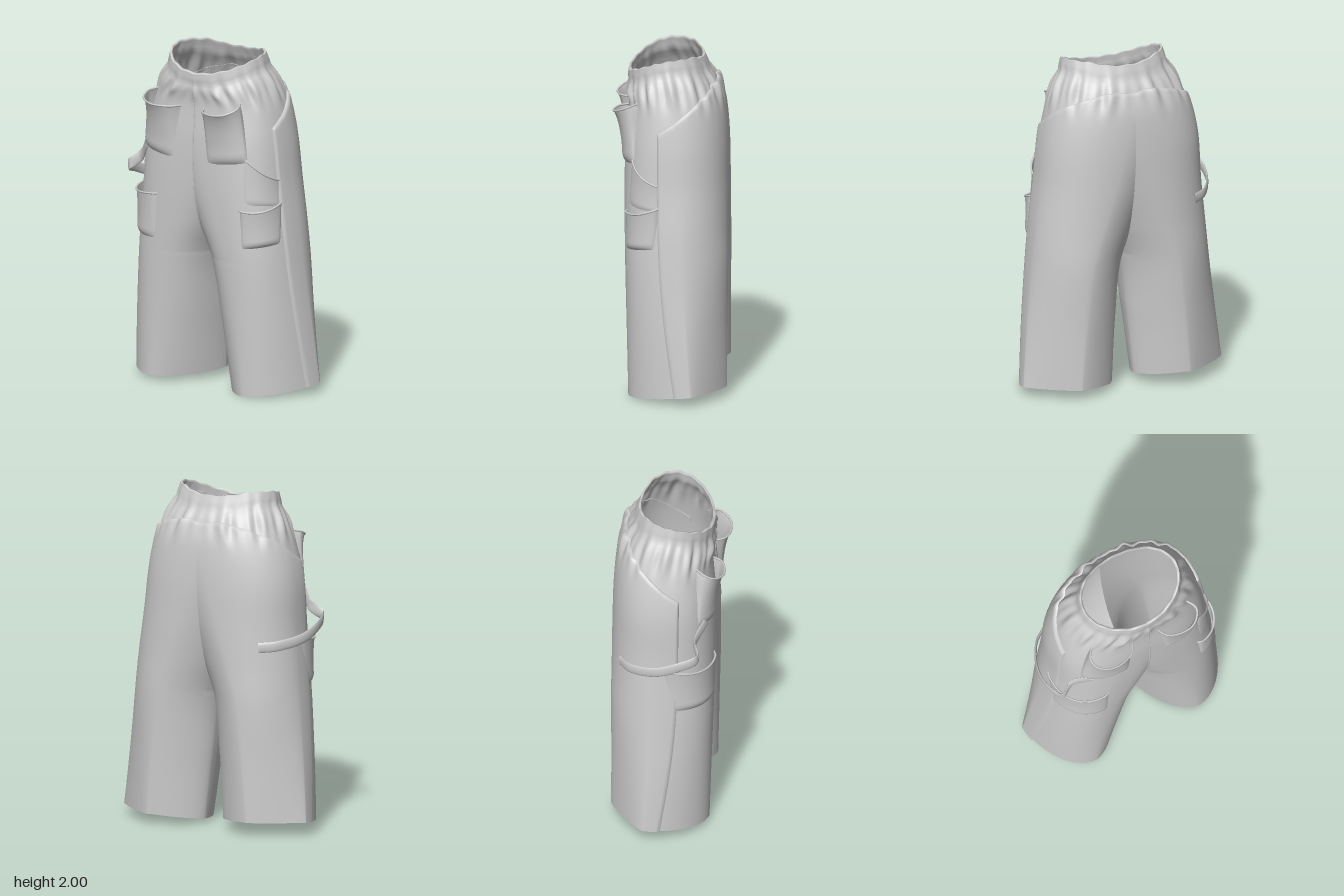
import * as THREE from 'three';

const { lerp, clamp, smoothstep } = THREE.MathUtils;
const CROTCH = 0.78;

// Leg sections: y, inner x, outer x, front z, back z, widest z,
// then squareness of the inner front, inner back, outer front and outer back corners
const SECTIONS = [
  [0.0, 0.07, 0.62, 0.24, -0.325, -0.13, 1.6, 1.55, 1.85, 1.22],
  [0.4, 0.04, 0.585, 0.25, -0.325, -0.1, 1.9, 1.6, 2.05, 1.45],
  [CROTCH, 0.0, 0.545, 0.26, -0.33, -0.07, 2.3, 1.7, 2.25, 1.75],
  [1.0, -0.1, 0.52, 0.265, -0.33, -0.06, 2.4, 1.65, 2.4, 1.9],
  [1.25, -0.22, 0.485, 0.268, -0.33, -0.04, 2.4, 1.7, 2.5, 2.1],
  [1.5, -0.32, 0.455, 0.262, -0.325, -0.03, 2.4, 1.85, 2.5, 2.2],
  [1.7, -0.37, 0.415, 0.247, -0.305, -0.02, 2.3, 2.0, 2.4, 2.2],
  [1.84, -0.355, 0.37, 0.258, -0.268, 0.0, 2.2, 2.1, 2.2, 2.1],
  [1.92, -0.325, 0.33, 0.255, -0.23, 0.02, 2.1, 2.1, 2.1, 2.1],
  [2.0, -0.31, 0.31, 0.25, -0.195, 0.03, 2.0, 2.0, 2.0, 2.0],
];

// Smooth interpolation of the section table
function section(y) {
  const S = SECTIONS, last = S.length - 1;
  let i = 0;
  while (i < last - 1 && y > S[i + 1][0]) i++;
  const h = S[i + 1][0] - S[i][0], t = clamp((y - S[i][0]) / h, 0, 1);
  const slope = (j, k) => {
    const a = S[Math.max(j - 1, 0)], b = S[Math.min(j + 1, last)];
    return (b[k] - a[k]) / (b[0] - a[0]);
  };
  const val = (k) => {
    const t2 = t * t, t3 = t2 * t;
    return (2 * t3 - 3 * t2 + 1) * S[i][k] + (t3 - 2 * t2 + t) * h * slope(i, k)
      + (3 * t2 - 2 * t3) * S[i + 1][k] + (t3 - t2) * h * slope(i + 1, k);
  };
  const xin = val(1), xout = val(2);
  return {
    cx: (xin + xout) / 2, a: (xout - xin) / 2, zf: val(3), zb: val(4), cz: val(5),
    inner: [val(6), val(7)], outer: [val(8), val(9)],
  };
}

const spow = (v, e) => Math.sign(v) * Math.abs(v) ** e;
const squareness = (s, dx, dz) => (dx < 0 ? s.inner : s.outer)[dz < 0 ? 1 : 0];

// Signed angle where a section meets the middle plane on the front (1) or back (-1)
function middleAngle(face, y, d = 0) {
  const s = section(y), r = s.cx / (s.a + d);
  const open = y <= CROTCH + 1e-6 && d <= 0 || r >= 1;
  return face * (open ? Math.PI : Math.acos(-(r ** (squareness(s, -1, face) / 2))));
}
// Angle for a given x on the front (1) or back (-1), and outer-side angle for a given z
function angleAtX(x, y, face = 1) {
  const s = section(y), n = squareness(s, x - s.cx, face);
  return face * Math.acos(clamp(spow((x - s.cx) / s.a, n / 2), -1, 1));
}
function angleAtZ(z, y) {
  const s = section(y), dz = z - s.cz, b = dz > 0 ? s.zf - s.cz : s.cz - s.zb;
  return Math.asin(clamp(spow(dz / b, squareness(s, 1, dz) / 2), -1, 1));
}

// Point on the cloth; d pushes it outward, side is +1 or -1
function cloth(side, th, y, d = 0) {
  const s = section(y), c = Math.cos(th), sn = Math.sin(th), e = 2 / squareness(s, c, sn);
  const gather = 0.008 * Math.exp(-(((y - 1.83) / 0.09) ** 2));
  const o = d + gather * (Math.cos(th * 15 + 0.4) + 0.8 * Math.cos(th * 26 + 1))
    - 0.006 * Math.exp(-(((y - 1.92) / 0.02) ** 2));
  const wide = side < 0 ? 1 + 0.06 * Math.exp(-(((y - 1.5) / 0.32) ** 2)) : 1;
  const x = wide * Math.max(0, s.cx + (s.a + o) * spow(c, e));
  const z = s.cz + ((sn > 0 ? s.zf - s.cz : s.cz - s.zb) + o) * spow(sn, e);
  const hem = 0.06 * clamp((x - 0.25) * 0.9 + (0.23 - z) * 1.7, 0, 1) + (side < 0 ? 0.025 : 0);
  const drop = 0.115 * clamp((z + 0.05) / 0.3, 0, 1) ** 2 + 0.03 * smoothstep(-z, 0.12, 0.2)
    + 0.003 * (1 + Math.sin(th * 17));
  const yy = y + hem * Math.max(0, 1 - y / 0.6) - smoothstep(y, 1.65, 2) * drop;
  return new THREE.Vector3(side * x, yy, z);
}

// Grid surface from a rule f(u, v)
function sheet(f, nu, nv, flip) {
  const pos = [], idx = [];
  for (let j = 0; j <= nv; j++) for (let i = 0; i <= nu; i++) pos.push(...f(i / nu, j / nv).toArray());
  for (let j = 0; j < nv; j++) for (let i = 0; i < nu; i++) {
    const a = j * (nu + 1) + i, b = a + 1, c = a + nu + 1, e = c + 1;
    idx.push(...(flip ? [a, b, c, b, e, c] : [a, c, b, b, c, e]));
  }
  const g = new THREE.BufferGeometry();
  g.setAttribute('position', new THREE.Float32BufferAttribute(pos, 3));
  g.setIndex(idx);
  g.computeVertexNormals();
  return g;
}

export function createModel() {
  const model = new THREE.Group();
  model.name = 'cargoTrousers';
  const mat = new THREE.MeshStandardMaterial({ color: 0xcccccc, side: THREE.DoubleSide });
  const add = (name, geo) => {
    const m = new THREE.Mesh(geo, mat);
    m.name = name;
    model.add(m);
  };
  const cord = (name, pts, r) =>
    add(name, new THREE.TubeGeometry(new THREE.CatmullRomCurve3(pts), pts.length * 2, r, 6));
  const along = (n, f) => Array.from({ length: n + 1 }, (_, i) => f(i / n));

  // Patch pocket: corners are [x, y] bottom inner, bottom outer, top inner, top outer
  function pocket(name, side, corners, puff, flare, sag) {
    const [p, q, r, s] = corners.map(([x, y]) => [angleAtX(x, y), y]);
    const f = (u, v) => {
      const mix = (k) => lerp(lerp(p[k], q[k], u), lerp(r[k], s[k], u), v);
      const bow = Math.max(0, Math.sin(Math.PI * u));
      const d = -0.004 + bow ** 0.4 * (puff * Math.min(1, v * 7) ** 0.5 + (flare - puff) * v * v);
      return cloth(side, mix(0), mix(1) - sag * bow * v * v, d);
    };
    add(name, sheet(f, 24, 20, side > 0));
    cord(name + 'Hem', along(16, (t) => f(t, 1)), 0.006);
  }

  for (const side of [1, -1]) {
    const tag = side > 0 ? 'left' : 'right';

    // Leg and hip half, separate below the crotch and joined above it
    const shell = (u, v) => {
      const y = v < 0.4 ? lerp(0, CROTCH, v / 0.4) : lerp(CROTCH, 2, (v - 0.4) / 0.6);
      return cloth(side, lerp(middleAngle(1, y), middleAngle(-1, y), u), y);
    };
    add(tag + 'Leg', sheet(shell, 120, 80, side < 0));

    // Turned-in lining of the waistband
    add(tag + 'WaistLining', sheet((u, v) =>
      cloth(side, Math.PI / 2 * (1 - 2 * u), 2 - 0.07 * Math.max(0, v - 0.3), -0.016 * Math.min(1, v * 3)),
    100, 6, side < 0));

    // Back panel with its slanted top edge, lying over the leg
    const panel = (u, v) => {
      const inner = (y, d) => Math.max(middleAngle(-1, y, d), -2.6);
      const zTop = cloth(1, lerp(angleAtZ(0.08, 1.58), inner(1.7, 0.015), u), 1.7).z;
      const y = Math.min(1.855 - 0.02 * smoothstep(u, 0.85, 1), 1.58 + (0.08 - zTop) * 0.72) * Math.min(1, v / 0.97);
      const edge = Math.min(1, u * 40) * (v > 0.97 ? (1 - v) / 0.03 : 1);
      const d = -0.008 + edge * (0.018 + 0.01 * v ** 8);
      const seam = angleAtZ(lerp(-0.02, 0.075, Math.sin(Math.min(1, y / 1.1) * Math.PI / 2)), y);
      return cloth(side, lerp(seam, inner(y, Math.max(d, 0.001)), u), y, d);
    };
    add(tag + 'BackPanel', sheet(panel, 80, 70, side < 0));

    // Chest-height front pocket, the pair sitting slightly off centre
    const shift = side > 0 ? -0.02 : 0.015;
    pocket(tag + 'FrontPocket', side,
      [[0.12, 1.36], [0.385, 1.39], [0.085, 1.68], [0.31, 1.75]].map(([x, y]) => [x + shift, y]), 0.025, 0.105, 0.03);
  }

  // Lower cargo pockets, set further round on the left leg
  pocket('leftCargoPocket', 1, [[0.35, 0.88], [0.51, 0.91], [0.33, 1.11], [0.49, 1.16]], 0.022, 0.04, 0.02);
  pocket('rightCargoPocket', -1, [[0.28, 0.855], [0.53, 0.86], [0.265, 1.13], [0.505, 1.145]], 0.022, 0.04, 0.02);

  // Curved side opening above the left cargo pocket
  pocket('leftSidePocket', 1, [[0.35, 1.14], [0.49, 1.13], [0.34, 1.42], [0.475, 1.28]], 0.01, 0.022, 0.02);

  // Centre front seam
  cord('frontSeam', along(24, (t) => {
    const y = lerp(0.84, 1.84, t);
    return cloth(1, middleAngle(1, y, 0.001), y, 0.001);
  }), 0.004);

  // Loop strap from the right front pocket round to the back panel
  const path = new THREE.CatmullRomCurve3([
    cloth(-1, angleAtX(0.38, 1.12, -1), 1.12, 0.014),
    cloth(-1, angleAtX(0.45, 1.13, -1), 1.13, 0.03),
    new THREE.Vector3(-0.565, 1.16, -0.07),
    new THREE.Vector3(-0.58, 1.21, 0.07),
    new THREE.Vector3(-0.54, 1.25, 0.18),
    cloth(-1, angleAtX(0.43, 1.31), 1.31, 0.02),
    cloth(-1, angleAtX(0.35, 1.41), 1.41, 0.012),
  ]);
  const up = new THREE.Vector3(0, 1, 0);
  add('loopStrap', sheet((u, v) => {
    const t = path.getTangent(v), out = new THREE.Vector3().crossVectors(t, up).normalize();
    const rise = new THREE.Vector3().crossVectors(out, t), a = u * Math.PI * 2;
    return path.getPoint(v).addScaledVector(rise, 0.03 * Math.cos(a)).addScaledVector(out, 0.007 * Math.sin(a));
  }, 12, 48, true));

  return model;
}
